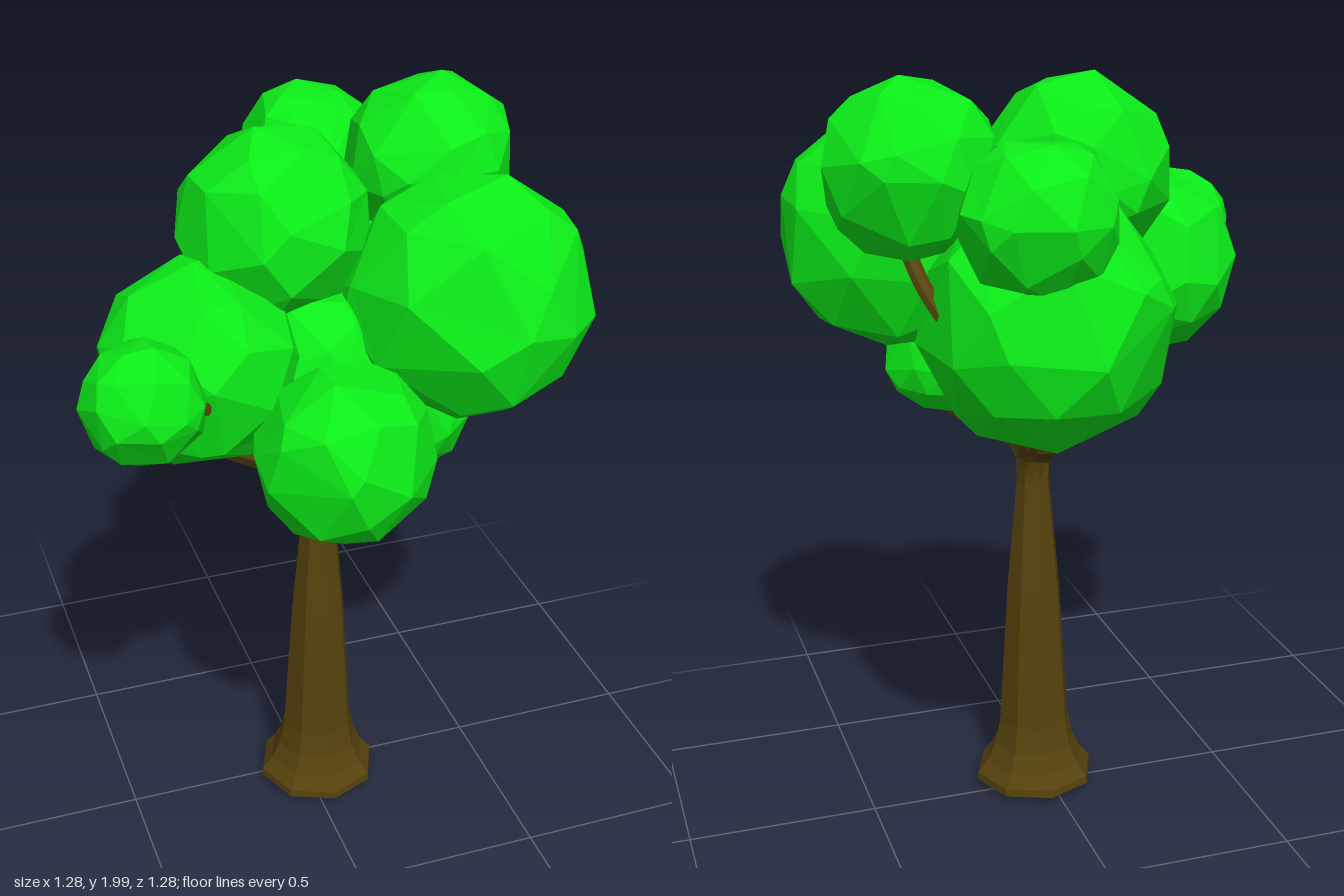
import * as THREE from 'three';

const bark = new THREE.MeshStandardMaterial({ color: 0x56420c, flatShading: true });
const leaf = new THREE.MeshStandardMaterial({ color: 0x0cec18, flatShading: true });

// Repeatable pseudo-random value in -0.5..0.5
const noise = (n) => {
  const s = Math.sin(n * 12.9898) * 43758.5453;
  return s - Math.floor(s) - 0.5;
};

// Faceted leaf ball: icosphere with corners shifted sideways, turned differently each time
function leafBall(name, x, y, z, r, seed) {
  const geo = new THREE.IcosahedronGeometry(1, 1);
  const pos = geo.attributes.position;
  const v = new THREE.Vector3();
  for (let i = 0; i < pos.count; i++) {
    v.fromBufferAttribute(pos, i);
    // shared corners round to the same key, so the shell stays closed
    const key = seed + Math.round(v.x * 50) * 1.7 + Math.round(v.y * 50) * 3.1 + Math.round(v.z * 50) * 5.3;
    v.x += 0.36 * noise(key + 0.1);
    v.y += 0.36 * noise(key + 0.2);
    v.z += 0.36 * noise(key + 0.3);
    v.setLength(r * (1.01 + 0.05 * noise(key)));
    pos.setXYZ(i, v.x, v.y, v.z);
  }
  geo.rotateX(seed * 1.3).rotateY(seed * 2.1);
  geo.computeVertexNormals();
  const mesh = new THREE.Mesh(geo, leaf);
  mesh.name = name;
  mesh.position.set(x, y, z);
  return mesh;
}

// Tapered branch along a smooth path, capped at both ends
function branch(name, points, r0, r1) {
  const curve = new THREE.CatmullRomCurve3(points.map((p) => new THREE.Vector3(...p)));
  const steps = 8, sides = 7;
  const geo = new THREE.TubeGeometry(curve, steps, 1, sides, false);
  const pos = geo.attributes.position;
  const v = new THREE.Vector3();
  for (let i = 0; i < pos.count; i++) {
    const t = Math.floor(i / (sides + 1)) / steps;
    const c = curve.getPointAt(t);
    v.fromBufferAttribute(pos, i).sub(c).multiplyScalar(r0 + (r1 - r0) * t).add(c);
    pos.setXYZ(i, v.x, v.y, v.z);
  }
  geo.computeVertexNormals();
  const group = new THREE.Group();
  group.name = name;
  group.add(new THREE.Mesh(geo, bark));
  for (const [t, r, dir] of [[0, r0, -1], [1, r1, 1]]) {
    const cap = new THREE.Mesh(new THREE.CircleGeometry(r, sides), bark);
    cap.position.copy(curve.getPointAt(t));
    cap.quaternion.setFromUnitVectors(new THREE.Vector3(0, 0, 1), curve.getTangentAt(t).multiplyScalar(dir));
    group.add(cap);
  }
  return group;
}

export function createModel() {
  const tree = new THREE.Group();
  tree.name = 'tree';

  // Eight-sided trunk with flared foot, widening again at the fork
  const profile = [
    [0, 0.005], [0.14, 0.01], [0.165, 0.025], [0.163, 0.045], [0.135, 0.08], [0.112, 0.13],
    [0.098, 0.2], [0.073, 0.6], [0.045, 0.9], [0.045, 0.96], [0.058, 1.02], [0.06, 1.05], [0, 1.065],
  ].map(([r, y]) => new THREE.Vector2(r, y));
  const trunk = new THREE.Mesh(new THREE.LatheGeometry(profile, 8), bark);
  trunk.name = 'trunk';
  trunk.position.set(0.033, 0, 0.033);
  tree.add(trunk);

  // Branches curving out of the trunk top
  const root = [0.033, 0.92, 0.033];
  tree.add(
    branch('rightBranch', [root, [0.01, 1.02, 0.045], [-0.11, 1.105, 0.075], [-0.27, 1.22, 0.11], [-0.31, 1.38, 0.13]], 0.042, 0.026),
    branch('leftBranch', [root, [0.055, 1.01, 0.05], [0.14, 1.065, 0.08], [0.23, 1.11, 0.12], [0.26, 1.2, 0.135]], 0.042, 0.026),
    branch('backBranch', [root, [0.04, 1.01, 0], [0.06, 1.045, -0.13], [0.085, 1.08, -0.22], [0.1, 1.2, -0.27]], 0.042, 0.03),
    branch('frontBranch', [root, [0.03, 1.02, 0.05], [0.01, 1.1, 0.1], [-0.01, 1.18, 0.2], [-0.03, 1.3, 0.36]], 0.042, 0.026),
    branch('upperTwig', [[0.365, 1.465, -0.34], [0.39, 1.52, -0.26], [0.41, 1.6, -0.17]], 0.02, 0.02),
    branch('sideTwig', [[-0.43, 1.47, 0.38], [-0.4, 1.48, 0.41], [-0.37, 1.49, 0.44]], 0.014, 0.014),
  );

  // Crown: name, centre, radius
  const crown = [
    ['largeFrontLeaves', 0.345, 1.555, 0.21, 0.307],
    ['lowFrontLeaves', -0.04, 1.305, 0.425, 0.218],
    ['smallSideLeaves', -0.5, 1.495, 0.375, 0.147],
    ['rightLeaves', -0.305, 1.45, 0.135, 0.25],
    ['topLeaves', -0.08, 1.725, 0.01, 0.242],
    ['topLeftLeaves', 0.385, 1.775, -0.135, 0.22],
    ['upperBackLeaves', 0.17, 1.705, -0.455, 0.188],
    ['largeBackLeaves', 0.105, 1.43, -0.31, 0.315],
    ['lowLeftLeaves', 0.245, 1.235, 0.135, 0.155],
    ['innerLeaves', -0.005, 1.385, 0.11, 0.222],
  ];
  crown.forEach(([name, x, y, z, r], i) => tree.add(leafBall(name, x, y, z, r, i + 1)));
  return tree;
}
